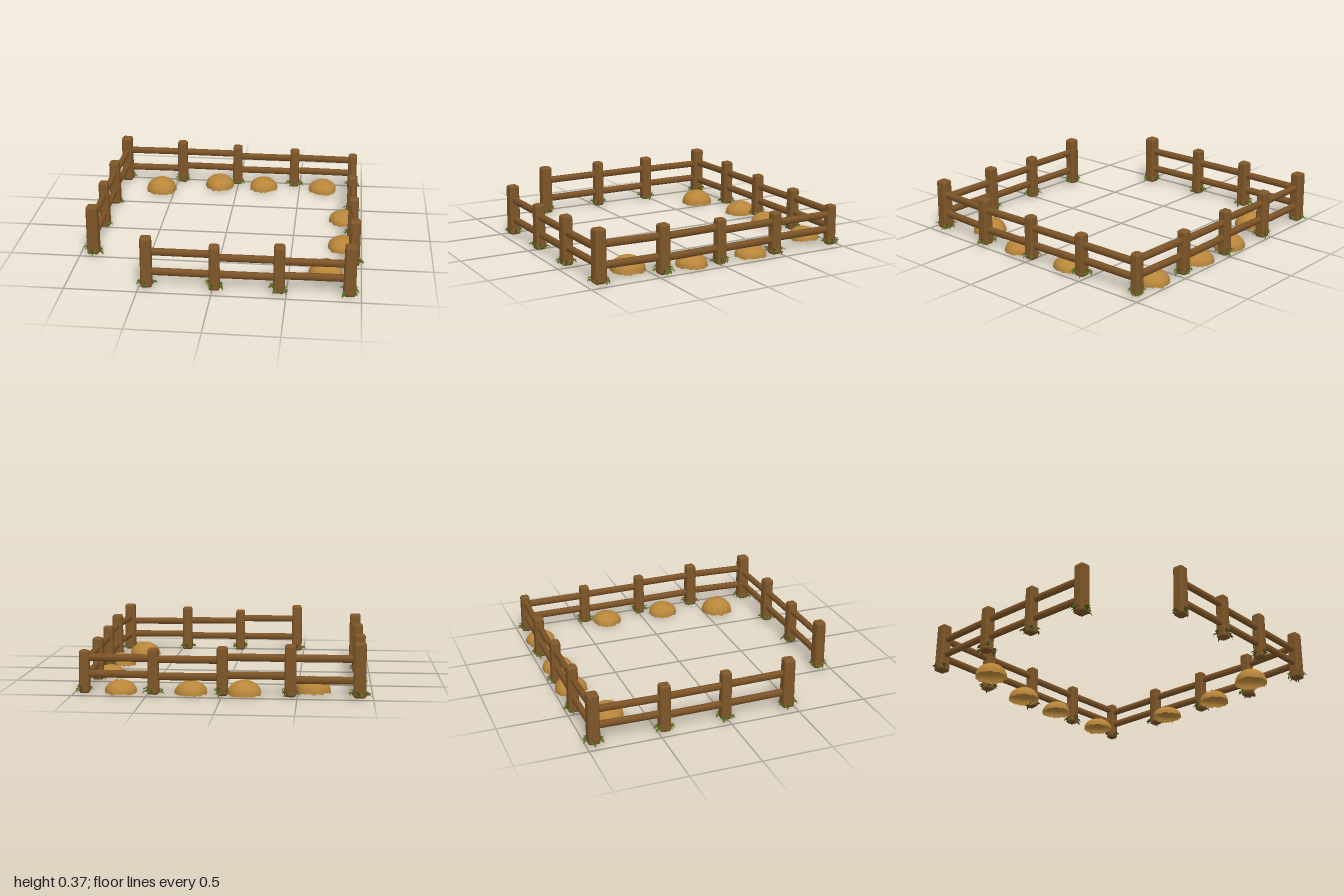
import * as THREE from 'three';
import { RoundedBoxGeometry } from 'three/addons/geometries/RoundedBoxGeometry.js';
import { mergeGeometries } from 'three/addons/utils/BufferGeometryUtils.js';

const paint = (name, color, side = THREE.FrontSide) => {
  const m = new THREE.MeshStandardMaterial({ color, side });
  m.name = name;
  return m;
};

// Small seeded generator, returns 0..1
function seeded(seed) {
  let s = seed * 7919 + 17;
  return () => {
    s = (s * 16807) % 2147483647;
    return s / 2147483647;
  };
}

// Fence posts in order around the pen: x, z, top height, width
const POSTS = [
  [-0.905, 0.45, 0.385, 0.085],
  [-0.915, -0.015, 0.375, 0.075],
  [-0.92, -0.455, 0.365, 0.08],
  [-0.91, -0.945, 0.385, 0.085],
  [-0.455, -0.95, 0.365, 0.078],
  [-0.005, -0.945, 0.345, 0.075],
  [0.455, -0.945, 0.33, 0.075],
  [0.92, -0.933, 0.31, 0.07],
  [0.922, -0.455, 0.32, 0.075],
  [0.933, 0.003, 0.335, 0.075],
  [0.945, 0.45, 0.36, 0.08],
  [0.92, 0.908, 0.385, 0.085],
  [0.45, 0.915, 0.365, 0.078],
  [0.015, 0.918, 0.345, 0.075],
  [-0.445, 0.918, 0.385, 0.08],
];

// Rail centre heights for the span after each post: upper, lower
const RAILS = [
  [0.275, 0.13], [0.27, 0.13], [0.265, 0.145],
  [0.275, 0.13], [0.275, 0.155], [0.255, 0.14], [0.26, 0.15],
  [0.24, 0.132], [0.248, 0.122], [0.272, 0.126], [0.277, 0.135],
  [0.248, 0.142], [0.255, 0.13], [0.277, 0.13],
];

// Straw mounds: x, z, radius, top height
const MOUNDS = [
  [-0.602, -0.755, 0.117, 0.12],
  [-0.145, -0.88, 0.115, 0.11],
  [0.21, -0.88, 0.11, 0.1],
  [0.688, -0.88, 0.11, 0.1],
  [0.867, -0.29, 0.11, 0.095],
  [0.867, 0.182, 0.11, 0.1],
  [0.755, 0.612, 0.119, 0.12],
];

// Upright timber with softened edges and a slight taper
function postGeometry(width, top, bottom) {
  const h = top - bottom;
  const g = new RoundedBoxGeometry(width, h, width, 2, 0.018);
  const p = g.attributes.position;
  for (let i = 0; i < p.count; i++) {
    const k = 1 - 0.05 * (p.getY(i) / h + 0.5);
    p.setX(i, p.getX(i) * k);
    p.setZ(i, p.getZ(i) * k);
  }
  return g.translate(0, bottom + h / 2, 0);
}

// Open straw dome with a ragged rim
function moundGeometry(r, h, rand) {
  const segs = 40, rings = 9, base = 0.022;
  const g = new THREE.SphereGeometry(1, segs, rings, 0, Math.PI * 2, 0, Math.PI / 2);
  const ragged = Array.from({ length: segs }, () => rand());
  const phase = rand() * 6;
  const p = g.attributes.position;
  for (let i = 0; i < p.count; i++) {
    const col = (i % (segs + 1)) % segs, row = Math.floor(i / (segs + 1));
    const a = (col / segs) * Math.PI * 2;
    const edge = row / rings;
    const k = 1 + edge * (0.025 * Math.sin(3 * a + phase) + 0.045 * (ragged[col] - 0.6));
    let y = base + p.getY(i) * (h - base);
    if (row === rings) y -= 0.012 * ragged[col];
    p.setXYZ(i, p.getX(i) * r * k, y, p.getZ(i) * r * k);
  }
  g.computeVertexNormals();
  return g;
}

// Loose stalks lying on the crown of a mound
function stalkGeometry(r, h, rand) {
  const parts = [];
  for (let i = 0; i < 6; i++) {
    const a = rand() * Math.PI * 2, d = r * 0.4 * rand();
    const stalk = new THREE.BoxGeometry(0.045, 0.004, 0.005);
    stalk.rotateZ((rand() - 0.5) * 0.3).rotateY(rand() * Math.PI);
    parts.push(stalk.translate(Math.cos(a) * d, h - 0.003 - d * 0.12, Math.sin(a) * d));
  }
  return mergeGeometries(parts);
}

// Pointed, folded leaf growing along +z
function leafGeometry(length, width) {
  const g = new THREE.PlaneGeometry(width, length, 2, 3).rotateX(Math.PI / 2);
  const p = g.attributes.position;
  const widths = [0.45, 1, 0.8, 0.05];
  for (let i = 0; i < p.count; i++) {
    const t = p.getZ(i) / length + 0.5;
    const x = p.getX(i) * widths[Math.round(t * 3)];
    p.setXYZ(i, x, Math.abs(x) * 0.5 + 0.014 * Math.sin(t * Math.PI), t * length);
  }
  g.computeVertexNormals();
  return g;
}

// Ring of leafy clumps hugging the foot of a post
function weedGeometry(width, rand) {
  const parts = [];
  const turn = rand() * 0.8;
  for (let c = 0; c < 4; c++) {
    const a = turn + Math.PI / 4 + (c * Math.PI) / 2 + (rand() - 0.5) * 0.6;
    for (let i = 0; i < 5; i++) {
      const leaf = leafGeometry(0.03 + rand() * 0.014, 0.02 + rand() * 0.008);
      leaf.rotateX(0.35 - rand() * 1.2);
      leaf.rotateY(a + (rand() - 0.5) * 2.4);
      const d = width * 0.5;
      parts.push(leaf.translate(Math.sin(a) * d, 0.022 + rand() * 0.024, Math.cos(a) * d));
    }
  }
  const g = mergeGeometries(parts);
  const p = g.attributes.position;
  for (let i = 0; i < p.count; i++) p.setY(i, Math.max(p.getY(i), 0.012));
  return g;
}

export function createModel() {
  const wood = paint('post wood', 0x7f5729);
  const railWood = paint('rail wood', 0x7d5427);
  const straw = paint('straw', 0xb8863a, THREE.DoubleSide);
  const green = paint('weed green', 0x59681f, THREE.DoubleSide);

  const model = new THREE.Group();
  model.name = 'fencedPen';
  const add = (parent, name, geometry, material) => {
    const mesh = new THREE.Mesh(geometry, material);
    mesh.name = name;
    parent.add(mesh);
    return mesh;
  };

  // Posts with weeds at their feet
  POSTS.forEach(([x, z, top, width], i) => {
    const rand = seeded(i + 1);
    const group = new THREE.Group();
    group.name = 'fencePost';
    group.position.set(x, 0, z);
    add(group, 'post', postGeometry(width, top, 0.018), wood).rotation.y = (rand() - 0.5) * 0.12;
    add(group, 'weeds', weedGeometry(width, rand), green);
    model.add(group);
  });

  // Two rails across every span
  RAILS.forEach((heights, i) => {
    const [x0, z0] = POSTS[i], [x1, z1] = POSTS[i + 1];
    const length = Math.hypot(x1 - x0, z1 - z0);
    heights.forEach((y, k) => {
      const g = new THREE.CylinderGeometry(0.027, 0.027, length, 8, 1);
      g.rotateY(Math.PI / 8).rotateX(Math.PI / 2).scale(0.8, 0.98, 1);
      const rail = add(model, k ? 'lowerRail' : 'upperRail', g, railWood);
      rail.position.set((x0 + x1) / 2, y, (z0 + z1) / 2);
      rail.rotation.y = Math.atan2(x1 - x0, z1 - z0);
    });
  });

  // Straw mounds
  MOUNDS.forEach(([x, z, r, h], i) => {
    const rand = seeded(i + 40);
    const group = new THREE.Group();
    group.name = 'strawMound';
    group.position.set(x, 0, z);
    add(group, 'mound', moundGeometry(r, h, rand), straw);
    add(group, 'looseStalks', stalkGeometry(r, h, rand), straw);
    model.add(group);
  });

  return model;
}
